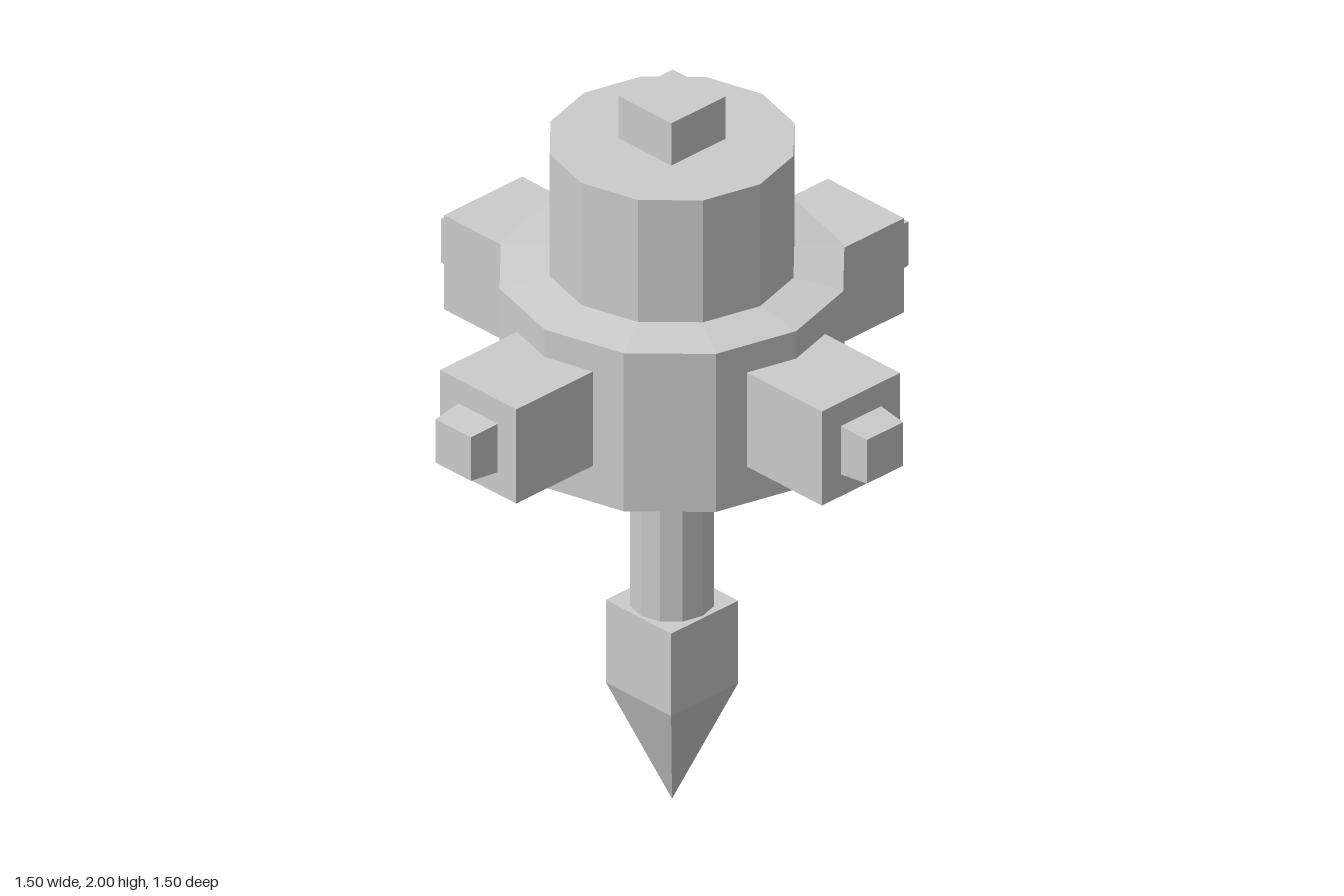
import * as THREE from 'three';

const material = new THREE.MeshStandardMaterial({ color: 0xcccccc, flatShading: true });

function add(parent, name, geometry, x = 0, y = 0, z = 0) {
  const mesh = new THREE.Mesh(geometry, material);
  mesh.name = name;
  mesh.position.set(x, y, z);
  parent.add(mesh);
  return mesh;
}

// Four-sided prism, optionally tapered, with its sides square to the axes
function squarePrism(topWidth, bottomWidth, height) {
  return new THREE.CylinderGeometry(topWidth * Math.SQRT1_2, bottomWidth * Math.SQRT1_2, height, 4)
    .rotateY(Math.PI / 4);
}

export function createModel() {
  const model = new THREE.Group();
  model.name = 'spikedDevice';

  // Twelve-sided drum with shallow sloping shoulders and a narrower upper drum
  const profile = [
    [0, 1.055], [0.31, 1.055], [0.437, 1.065], [0.437, 1.515],
    [0.31, 1.533], [0.31, 1.88], [0, 1.88],
  ].map(([r, y]) => new THREE.Vector2(r, y));
  add(model, 'drumBody', new THREE.LatheGeometry(profile, 12));

  // Cap block on top
  add(model, 'topBlock', new THREE.BoxGeometry(0.185, 0.12, 0.185), 0, 1.94, 0);

  // Shaft and square spike below
  add(model, 'shaft', new THREE.CylinderGeometry(0.107, 0.107, 0.51, 12), 0, 0.81, 0);
  add(model, 'spikeBlock', squarePrism(0.23, 0.23, 0.235), 0, 0.4475, 0);
  add(model, 'spikePoint', squarePrism(0.23, 0, 0.33), 0, 0.165, 0);

  // Four side arms, each with a tapered stub
  ['frontArm', 'leftArm', 'backArm', 'rightArm'].forEach((name, i) => {
    const arm = new THREE.Group();
    arm.name = name;
    arm.rotation.y = i * Math.PI / 2;
    add(arm, 'armBlock', new THREE.BoxGeometry(0.268, 0.268, 0.285), 0, 1.303, 0.5225);
    add(arm, 'armStub', squarePrism(0.124, 0.138, 0.085).rotateX(Math.PI / 2), 0, 1.3, 0.7075);
    model.add(arm);
  });

  return model;
}
